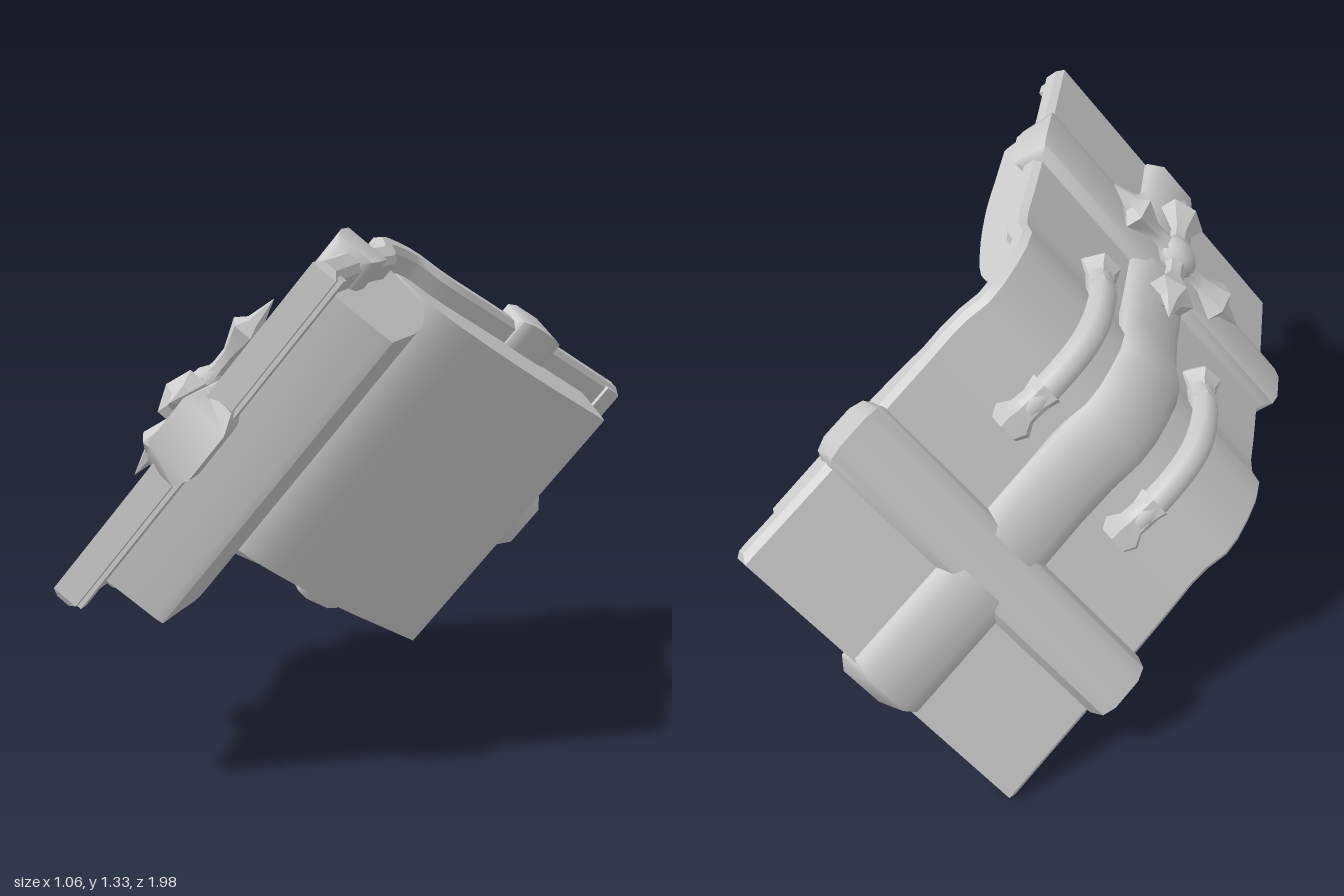
import * as THREE from 'three';
import { toCreasedNormals } from 'three/addons/utils/BufferGeometryUtils.js';

// Book frame: x = across the open book, y = along the spine, z = out of the spine's back
const MID = 0.205, BOTTOM = 0.05, TOP = 1.05, CENTRE = 0.55;
const TILT = Math.atan2(0.248, 0.566); // slope of each cover
const mat = new THREE.MeshStandardMaterial({ color: 0xcccccc });
const V2 = (p) => new THREE.Vector2(p[0], p[1]);

// Half of the outer cross-section, from the middle of the spine to the fore edge
const HALF = [[0, 0.702], [0.065, 0.698], [0.12, 0.68], [0.165, 0.632], [0.21, 0.605], [0.3, 0.57], [0.58, 0.452], [0.866, 0.322]];
const mirrored = (half) => [...half.slice(1).reverse().map(([x, z]) => [-x, z]), ...half];

// Shift an open line sideways along its normals
function offset(line, d) {
  return line.map(([x, z], i) => {
    const a = line[Math.max(i - 1, 0)], b = line[Math.min(i + 1, line.length - 1)];
    const l = Math.hypot(b[0] - a[0], b[1] - a[1]);
    return [x - (b[1] - a[1]) / l * d, z + (b[0] - a[0]) / l * d];
  });
}

// Extrude a closed (x, z) outline along the spine from y0 to y1, bevel included
function prism(name, outline, y0, y1, bevel = 0, bevelY = bevel, crease = 0.7) {
  const shape = new THREE.Shape(outline.map(([x, z]) => new THREE.Vector2(x, -z)));
  let g = new THREE.ExtrudeGeometry(shape, {
    depth: y1 - y0 - 2 * bevelY, bevelEnabled: bevel > 0,
    bevelSize: bevel, bevelThickness: bevelY, bevelSegments: 1,
  });
  g.rotateX(-Math.PI / 2).translate(0, y0 + bevelY, 0);
  g = toCreasedNormals(g, crease);
  const m = new THREE.Mesh(g, mat);
  m.name = name;
  return m;
}

// Strap running the height of one cover and wrapping over its edges
function coverStrap() {
  const h = 0.495;
  const shape = new THREE.Shape([[-h, -0.05], [h, -0.05], [h, 0.01], [-h, 0.01]].map(V2));
  const g = new THREE.ExtrudeGeometry(shape, { depth: 0.09, bevelSize: 0.03, bevelThickness: 0.05, bevelSegments: 2 });
  g.translate(0, 0, -0.045);
  // (x, y, z) -> (z, x, y): length along the spine, width across the cover
  g.applyMatrix4(new THREE.Matrix4().makeBasis(
    new THREE.Vector3(0, 1, 0), new THREE.Vector3(0, 0, 1), new THREE.Vector3(1, 0, 0)));
  const m = new THREE.Mesh(toCreasedNormals(g, 1.1), mat);
  m.name = 'coverStrap';
  return m;
}

// Four-armed star ornament with flared, pointed tips
function star() {
  const g = new THREE.Group();
  g.name = 'starOrnament';
  const profile = [[0.05, 0], [0.032, 0.07], [0.032, 0.11], [0.075, 0.185], [0.035, 0.21], [0, 0.285]];
  for (let i = 0; i < 4; i++) {
    const geo = new THREE.LatheGeometry(profile.map(V2), 6).scale(1, 1, 0.65);
    const arm = new THREE.Mesh(toCreasedNormals(geo, 0.5), mat);
    arm.name = 'starArm';
    arm.rotation.z = i * Math.PI / 2;
    g.add(arm);
  }
  const hub = new THREE.Mesh(new THREE.SphereGeometry(0.065, 8, 6), mat);
  hub.name = 'starHub';
  hub.scale.z = 0.7;
  g.add(hub);
  return g;
}

// Raised rib lying over the spine, with long flared ends
function rib(y) {
  const g = new THREE.Group();
  g.name = 'spineRib';
  const pts = [[-0.22, 0.622], [-0.15, 0.672], [0, 0.718], [0.15, 0.672], [0.22, 0.622]]
    .map(([x, z]) => new THREE.Vector3(x, y, z));
  const curve = new THREE.CatmullRomCurve3(pts);
  const tube = new THREE.Mesh(new THREE.TubeGeometry(curve, 16, 0.04, 8), mat);
  tube.name = 'ribBar';
  g.add(tube);
  for (const t of [0, 1]) {
    const dir = curve.getTangent(t).multiplyScalar(t ? 1 : -1);
    const geo = new THREE.LatheGeometry([[0.05, -0.075], [0.038, -0.03], [0.042, 0.01], [0.062, 0.04], [0.045, 0.07], [0, 0.072]].map(V2), 6);
    const end = new THREE.Mesh(toCreasedNormals(geo, 0.7), mat);
    end.name = 'ribEnd';
    end.position.copy(curve.getPoint(t));
    end.quaternion.setFromUnitVectors(new THREE.Vector3(0, 1, 0), dir);
    g.add(end);
  }
  return g;
}

export function createModel() {
  const book = new THREE.Group();
  book.name = 'openBook';

  // Covers and spine in one shell
  const outer = mirrored(HALF);
  const shell = [...offset(outer, -0.016), ...offset(outer, -0.05).reverse()];
  book.add(prism('coverAndSpine', shell, BOTTOM, TOP, 0.016));

  // Raised rims inside the cover edges
  for (const s of [-1, 1]) {
    const rim = new THREE.Mesh(new THREE.BoxGeometry(0.04, 0.98, 0.03), mat);
    rim.name = 'coverRim';
    rim.position.set(s * 0.815, CENTRE, 0.277);
    rim.rotation.y = s * TILT;
    book.add(rim);
  }

  // Page blocks with a curved open side
  const curve = new THREE.SplineCurve([[0.012, 0.6], [0.065, 0.475], [0.2, 0.37], [0.37, 0.275], [0.52, 0.213], [0.65, 0.16]].map(V2));
  const face = curve.getPoints(18).map((p) => [p.x, p.y]);
  for (const s of [-1, 1]) {
    const block = [[0.012, 0.65], ...face, [0.665, 0.175], [0.755, 0.325], [0.3, 0.525], [0.13, 0.615]];
    book.add(prism('pageBlock', block.map(([x, z]) => [s * x, z]), 0.115, 0.985));
  }

  // Strap across both covers and the spine, hooked over the fore edges
  const line = mirrored([...HALF.slice(0, 3), [0.2, 0.622], ...HALF.slice(5, 7), [0.872, 0.318]]);
  const top = offset(line, 0.012);
  const under = offset(line, -0.03);
  const hook = [[0.86, 0.25], [0.81, 0.275]];
  const band = [...top, ...hook, ...under.slice(1, -1).reverse(),
    ...hook.slice().reverse().map(([x, z]) => [-x, z])];
  book.add(prism('crossStrap', band, CENTRE - 0.11, CENTRE + 0.11, 0.025, 0.045, 1.1));

  // Straps along each cover, and the ornament on the front one
  for (const s of [-1, 1]) {
    const cover = new THREE.Group();
    cover.name = s > 0 ? 'frontCoverFittings' : 'backCoverFittings';
    cover.position.set(s * 0.52, CENTRE, 0.477);
    cover.rotation.y = s * TILT;
    cover.add(coverStrap());
    if (s > 0) {
      const ornament = star();
      ornament.position.z = 0.068;
      cover.add(ornament);
    }
    book.add(cover);
  }

  for (const y of [CENTRE - 0.22, CENTRE + 0.22]) book.add(rib(y));

  // Tip the book into its pose
  const W = new THREE.Vector3(0.17, 0.286, 0.943).normalize();
  const N = new THREE.Vector3().crossVectors(W, new THREE.Vector3(0.53, 0.78, -0.33)).normalize();
  const A = new THREE.Vector3().crossVectors(N, W);
  book.quaternion.setFromRotationMatrix(new THREE.Matrix4().makeBasis(W, A, N));
  book.position.copy(W).multiplyScalar(MID);

  const model = new THREE.Group();
  model.name = 'model';
  model.add(book);
  return model;
}
